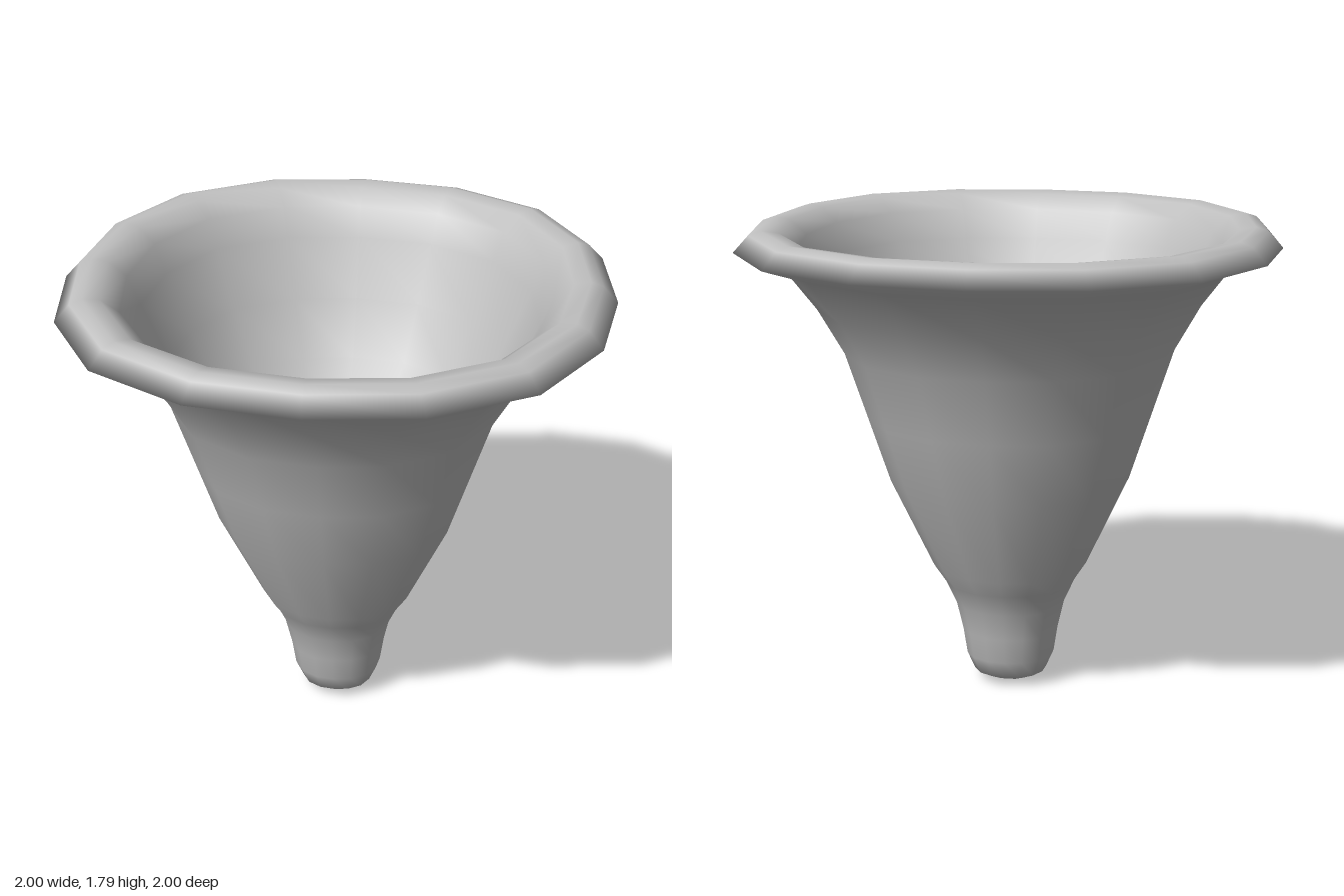
import * as THREE from 'three';
import { mergeVertices } from 'three/addons/utils/BufferGeometryUtils.js';

// Lathe with 16 sides, bulged slightly toward the diagonals, smooth normals
function softSquareLathe(profile) {
  let g = new THREE.LatheGeometry(profile.map(([r, y]) => new THREE.Vector2(r, y)), 16);
  const p = g.attributes.position;
  for (let i = 0; i < p.count; i++) {
    const a = Math.atan2(p.getX(i), p.getZ(i));
    const k = 1 + 0.05 * Math.sin(2 * a) ** 2;
    p.setXYZ(i, p.getX(i) * k, p.getY(i), p.getZ(i) * k);
  }
  g.deleteAttribute('normal');
  g.deleteAttribute('uv');
  g = mergeVertices(g, 1e-4);
  g.computeVertexNormals();
  return g;
}

export function createModel() {
  const group = new THREE.Group();
  group.name = 'funnelCup';
  const grey = new THREE.MeshStandardMaterial({ color: 0xc0c0c0 });
  grey.name = 'light grey';

  const profile = [
    // closed spout, bottom to top
    [0, 0], [0.08, 0.01], [0.14, 0.04], [0.17, 0.11], [0.185, 0.21],
    [0.21, 0.32], [0.25, 0.41], [0.295, 0.48],
    // flaring outer wall
    [0.455, 0.83], [0.535, 1.08], [0.615, 1.33], [0.71, 1.5], [0.83, 1.66],
    // flared lip
    [1, 1.72], [0.945, 1.78], [0.9, 1.795], [0.84, 1.785], [0.775, 1.73],
    // rounded bowl inside
    [0.73, 1.62], [0.63, 1.4], [0.52, 1.19], [0.36, 1.0], [0.18, 0.9], [0, 0.87],
  ];
  const body = new THREE.Mesh(softSquareLathe(profile), grey);
  body.name = 'body';
  group.add(body);
  return group;
}
